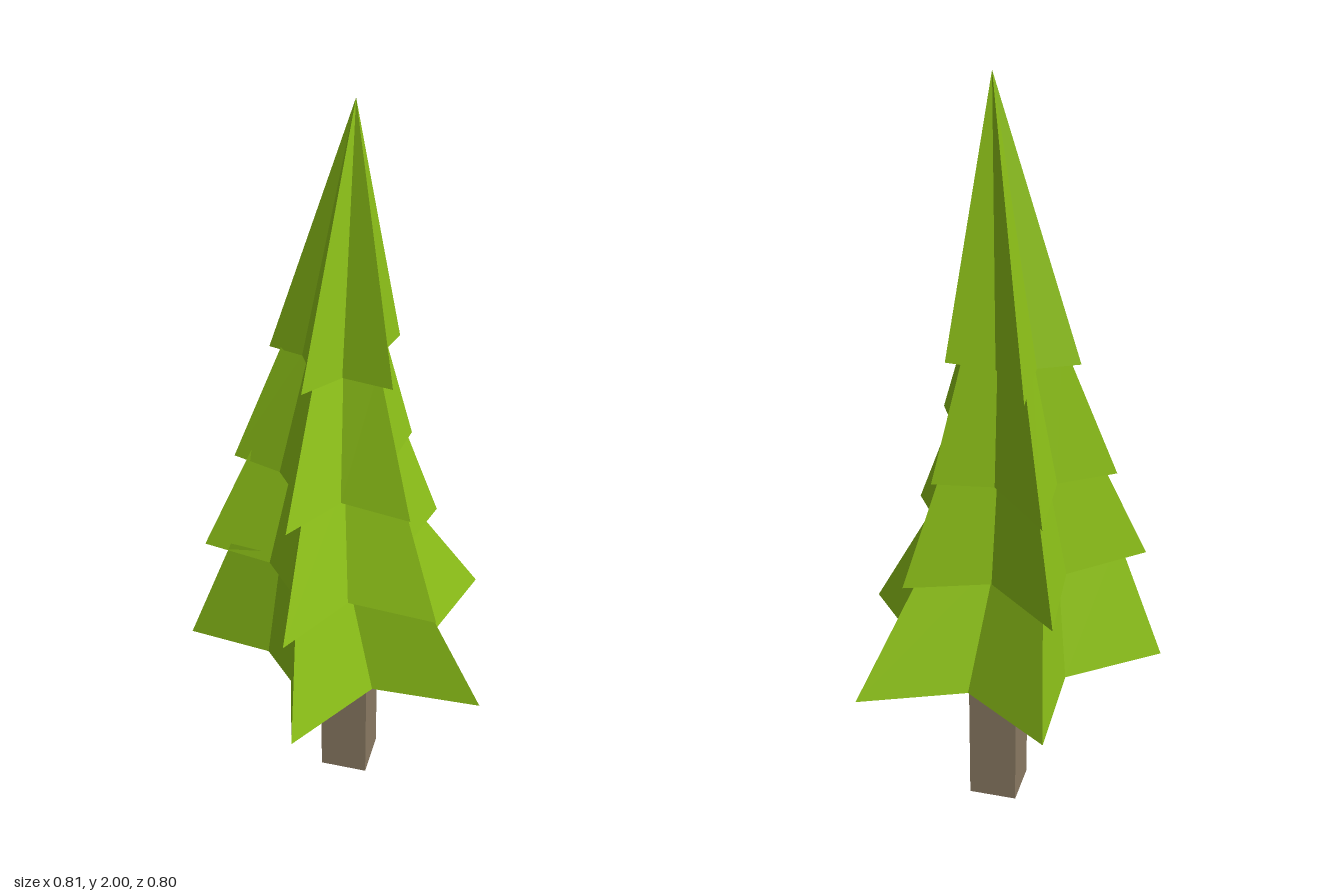
import * as THREE from 'three';

// Star outlines [x, z]: left tip, two-point valley, front tip, valley, right tip,
// valley, back right tip, valley, back left tip, valley.
// rim(x, z) is the height of the slightly tilted lower edge;
// each tier shrinks by "scale" towards "centre" [x, y, z].
const TIERS = [
  {
    name: 'bottomBranches', rim: () => 0.445, scale: 0.65, centre: [-0.08, 0.755, 0.06],
    star: [[-0.41, 0.06], [-0.185, 0.085], [-0.095, 0.18], [-0.03, 0.4], [0.12, 0.155], [0.405, 0.145],
      [0.22, -0.07], [0.3, -0.35], [0.035, -0.24], [-0.2, -0.4], [-0.19, -0.11]],
  },
  {
    name: 'lowerBranches', rim: (x, z) => 0.752 - 0.01 * x + 0.01 * z, scale: 0.65, centre: [-0.035, 1.03, -0.1],
    star: [[-0.36, 0.05], [-0.175, 0.08], [-0.095, 0.17], [-0.05, 0.385], [0.06, 0.18], [0.29, 0.195],
      [0.14, -0.03], [0.195, -0.26], [-0.015, -0.19], [-0.21, -0.355], [-0.185, -0.1]],
  },
  {
    name: 'upperBranches', rim: (x, z) => 1.025 + 0.05 * x + 0.035 * z, scale: 0.54, centre: [-0.02, 1.345, -0.11],
    star: [[-0.29, -0.015], [-0.155, 0.035], [-0.094, 0.115], [-0.065, 0.29], [0.03, 0.135], [0.213, 0.178],
      [0.105, -0.02], [0.13, -0.21], [-0.02, -0.175], [-0.175, -0.325], [-0.16, -0.11]],
  },
  {
    name: 'topBranches', rim: (x, z) => 1.345 + 0.09 * x + 0.11 * z, scale: 0, centre: [0.015, 2, -0.055],
    star: [[-0.205, -0.07], [-0.11, -0.03], [-0.07, 0.045], [-0.054, 0.175], [0.018, 0.075], [0.15, 0.118],
      [0.07, -0.025], [0.1, -0.175], [-0.02, -0.163], [-0.12, -0.285], [-0.11, -0.125]],
  },
];

// Tapered star with a closed underside
function tierGeometry({ star, rim, scale, centre }) {
  const [cx, cy, cz] = centre;
  const grow = scale > 0 ? 1.08 : 1; // run on a little inside the tier above
  const t = (1 - scale) * grow;
  const low = star.map(([x, z]) => [x, rim(x, z), z]);
  const high = low.map(([x, y, z]) => [
    x + (cx - x) * t,
    y + (cy - y) * grow,
    z + (cz - z) * t,
  ]);
  const mx = star.reduce((s, p) => s + p[0], 0) / star.length;
  const mz = star.reduce((s, p) => s + p[1], 0) / star.length;
  const middle = [mx, rim(mx, mz), mz];
  const positions = [];
  const tri = (a, b, c) => positions.push(...a, ...b, ...c);
  for (let i = 0; i < low.length; i++) {
    const j = (i + 1) % low.length;
    tri(low[i], low[j], high[j]);
    if (scale > 0) tri(low[i], high[j], high[i]);
    tri(middle, low[j], low[i]);
  }
  const geometry = new THREE.BufferGeometry();
  geometry.setAttribute('position', new THREE.Float32BufferAttribute(positions, 3));
  geometry.computeVertexNormals();
  return geometry;
}

export function createModel() {
  const tree = new THREE.Group();
  tree.name = 'pineTree';
  const leaf = new THREE.MeshStandardMaterial({ color: 0x8cc018, flatShading: true });
  const bark = new THREE.MeshStandardMaterial({ color: 0x8b7b64, flatShading: true });

  // Square trunk
  const trunk = new THREE.Mesh(new THREE.BoxGeometry(0.128, 0.45, 0.128), bark);
  trunk.name = 'trunk';
  trunk.position.set(0.012, 0.225, -0.026);
  tree.add(trunk);

  // Stacked star-shaped branch tiers
  for (const tier of TIERS) {
    const mesh = new THREE.Mesh(tierGeometry(tier), leaf);
    mesh.name = tier.name;
    tree.add(mesh);
  }
  return tree;
}
